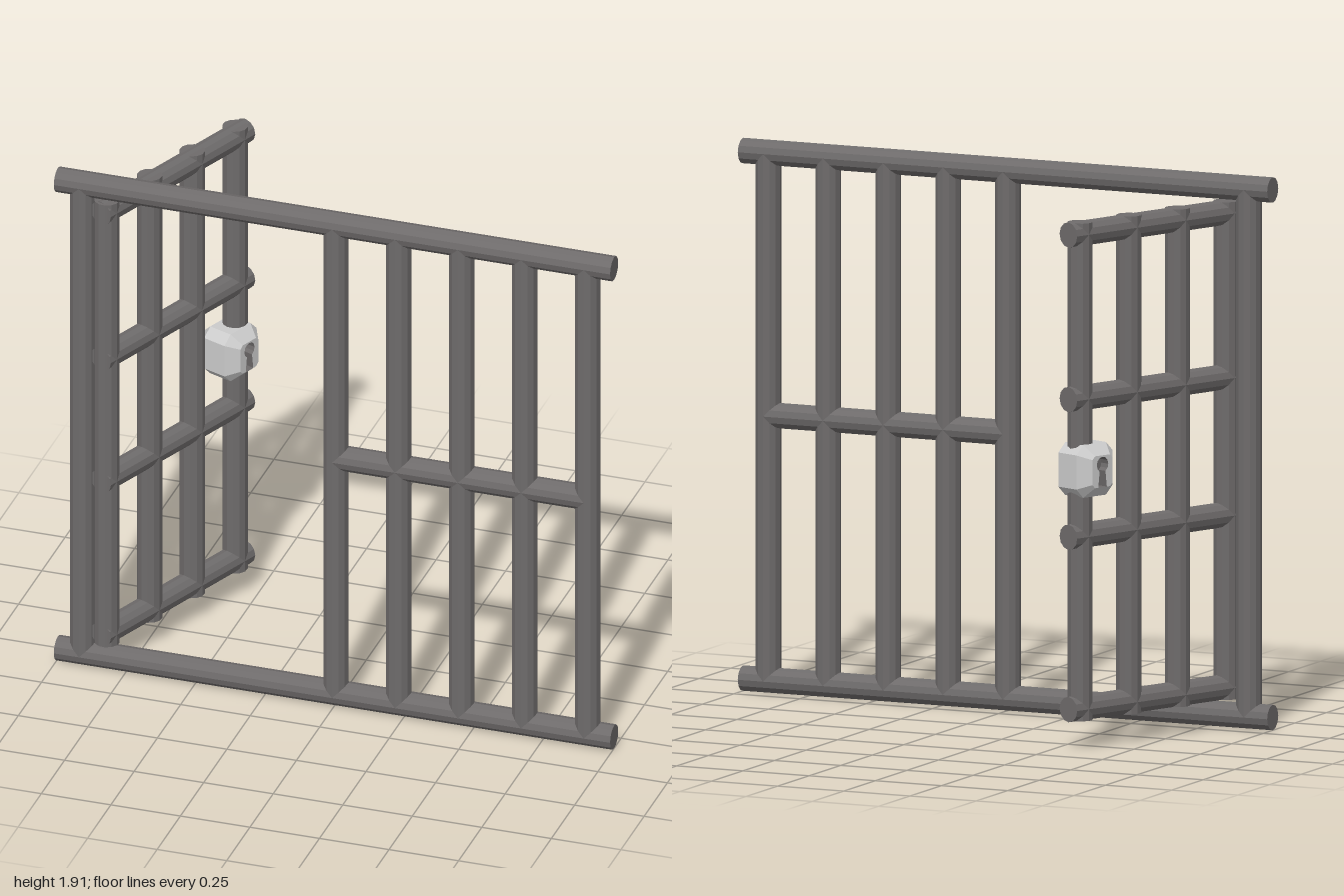
import * as THREE from 'three';

const iron = new THREE.MeshStandardMaterial({ color: 0x6e6b6b, flatShading: true });
const steel = new THREE.MeshStandardMaterial({ color: 0xbcbebd, flatShading: true, side: THREE.DoubleSide });
const dark = new THREE.MeshStandardMaterial({ color: 0x6e6b6b, flatShading: true, side: THREE.DoubleSide });
const R = 0.044;

function add(parent, name, geometry, material) {
  const mesh = new THREE.Mesh(geometry, material);
  mesh.name = name;
  parent.add(mesh);
  return mesh;
}

// Round bar along y or x, centred between its two ends
function bar(parent, name, axis, from, to, x, y, z = 0) {
  const mesh = add(parent, name, new THREE.CylinderGeometry(R, R, to - from, 12), iron);
  const mid = (from + to) / 2;
  if (axis === 'x') {
    mesh.rotation.z = Math.PI / 2;
    mesh.position.set(mid, y, z);
  } else {
    mesh.position.set(x, mid, z);
  }
}

// Open band of quads joining closed loops of equal length
function loft(loops) {
  const n = loops[0].length, index = [];
  for (let k = 0; k < loops.length - 1; k++) {
    for (let i = 0; i < n; i++) {
      const a = k * n + i, b = k * n + (i + 1) % n;
      index.push(a, b, b + n, a, b + n, a + n);
    }
  }
  const geometry = new THREE.BufferGeometry().setFromPoints(loops.flat());
  geometry.setIndex(index);
  const flat = geometry.toNonIndexed();
  flat.computeVertexNormals();
  return flat;
}

const atDepth = (points, z) => points.map(p => new THREE.Vector3(p.x, p.y, z));

// Rectangle with cut corners
function cutRect(w, h, c) {
  return [[w, h - c], [w - c, h], [c - w, h], [-w, h - c], [-w, c - h], [c - w, -h], [w - c, -h], [w, c - h]]
    .map(([x, y]) => new THREE.Vector2(x, y));
}

// Keyhole outline: round head over a flared slot
function keyholePoints() {
  const points = [];
  for (let i = 0; i <= 10; i++) {
    const a = THREE.MathUtils.degToRad(-60 + i * 30);
    points.push(new THREE.Vector2(0.027 * Math.cos(a), 0.023 + 0.027 * Math.sin(a)));
  }
  points.push(new THREE.Vector2(-0.02, -0.055), new THREE.Vector2(0.02, -0.055));
  return points;
}

// Chamfered lock case with a sunk keyhole on both faces
function makeLock() {
  const lock = new THREE.Group();
  lock.name = 'lock';
  const outer = cutRect(0.085, 0.091, 0.032), inner = cutRect(0.047, 0.055, 0.012);
  const hole = keyholePoints();
  add(lock, 'lockCase', loft([
    atDepth(inner, -0.085), atDepth(outer, -0.045), atDepth(outer, 0.045), atDepth(inner, 0.085),
  ]), steel);
  const face = new THREE.Shape(inner);
  face.holes.push(new THREE.Path(hole));
  for (const s of [1, -1]) {
    add(lock, 'lockFace', new THREE.ShapeGeometry(face), steel).position.z = 0.085 * s;
    add(lock, 'keyholeWall', loft([atDepth(hole, 0.085 * s), atDepth(hole, 0.05 * s)]), dark);
    add(lock, 'keyholeFloor', new THREE.ShapeGeometry(new THREE.Shape(hole)), dark).position.z = 0.05 * s;
  }
  return lock;
}

export function createModel() {
  const model = new THREE.Group();
  model.name = 'barredGate';

  // Fixed frame
  const frame = new THREE.Group();
  frame.name = 'frame';
  frame.position.z = 0.325;
  const low = 0.045, high = 1.866;
  bar(frame, 'bottomRail', 'x', -1, 1, 0, low);
  bar(frame, 'topRail', 'x', -1, 1, 0, high);
  for (const x of [-0.91, 0, 0.226, 0.452, 0.679, 0.905]) bar(frame, 'post', 'y', low, high, x, 0);
  bar(frame, 'crossBar', 'x', 0, 0.905, 0, 0.96);
  model.add(frame);

  // Door swung open toward the back
  const door = new THREE.Group();
  door.name = 'door';
  door.position.set(-0.835, 0, 0.355);
  door.rotation.y = Math.atan2(0.715, 0.28);
  for (const y of [0.14, 0.735, 1.21, 1.778]) bar(door, 'doorRail', 'x', 0, 0.768, 0, y);
  for (let i = 0; i < 4; i++) bar(door, 'doorBar', 'y', 0.1, 1.818, 0.032 + i * 0.227, 0);
  const lock = makeLock();
  lock.position.set(0.688, 0.964, 0);
  door.add(lock);
  model.add(door);

  return model;
}
